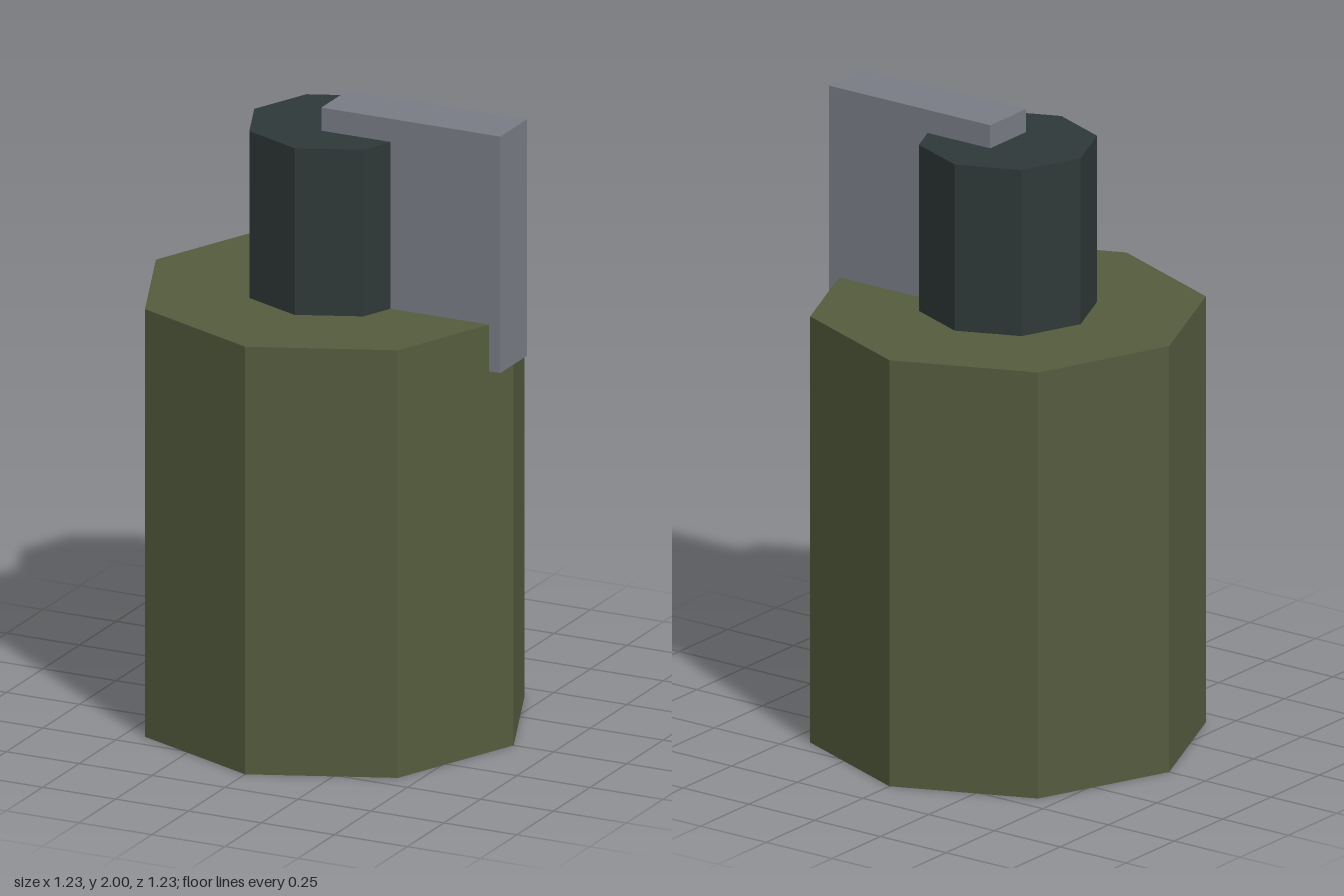
import * as THREE from 'three';

const mat = (name, color) => {
  const m = new THREE.MeshStandardMaterial({ color, flatShading: true });
  m.name = name;
  return m;
};

export function createModel() {
  const model = new THREE.Group();
  model.name = 'grenade';

  const olive = mat('olive green', 0x545c3e);
  const dark = mat('dark slate', 0x2f3838);
  const steel = mat('steel grey', 0x797c85);

  const add = (name, geometry, material, x, y) => {
    const mesh = new THREE.Mesh(geometry, material);
    mesh.name = name;
    mesh.position.set(x, y, 0);
    model.add(mesh);
  };

  // Eight-sided body and neck, corners on the axes
  const prism = (name, radius, bottom, top, material) =>
    add(name, new THREE.CylinderGeometry(radius, radius, top - bottom, 8), material, 0, (top + bottom) / 2);
  prism('body', 0.613, 0, 1.385, olive);
  prism('neck', 0.276, 1.385, 1.925, dark);

  // Lever plate from the centre line out to the rim, overlapping the body's edge
  const low = 1.234, high = 2;
  add('lever', new THREE.BoxGeometry(0.613, high - low, 0.184), steel, 0.3065, (high + low) / 2);

  return model;
}
